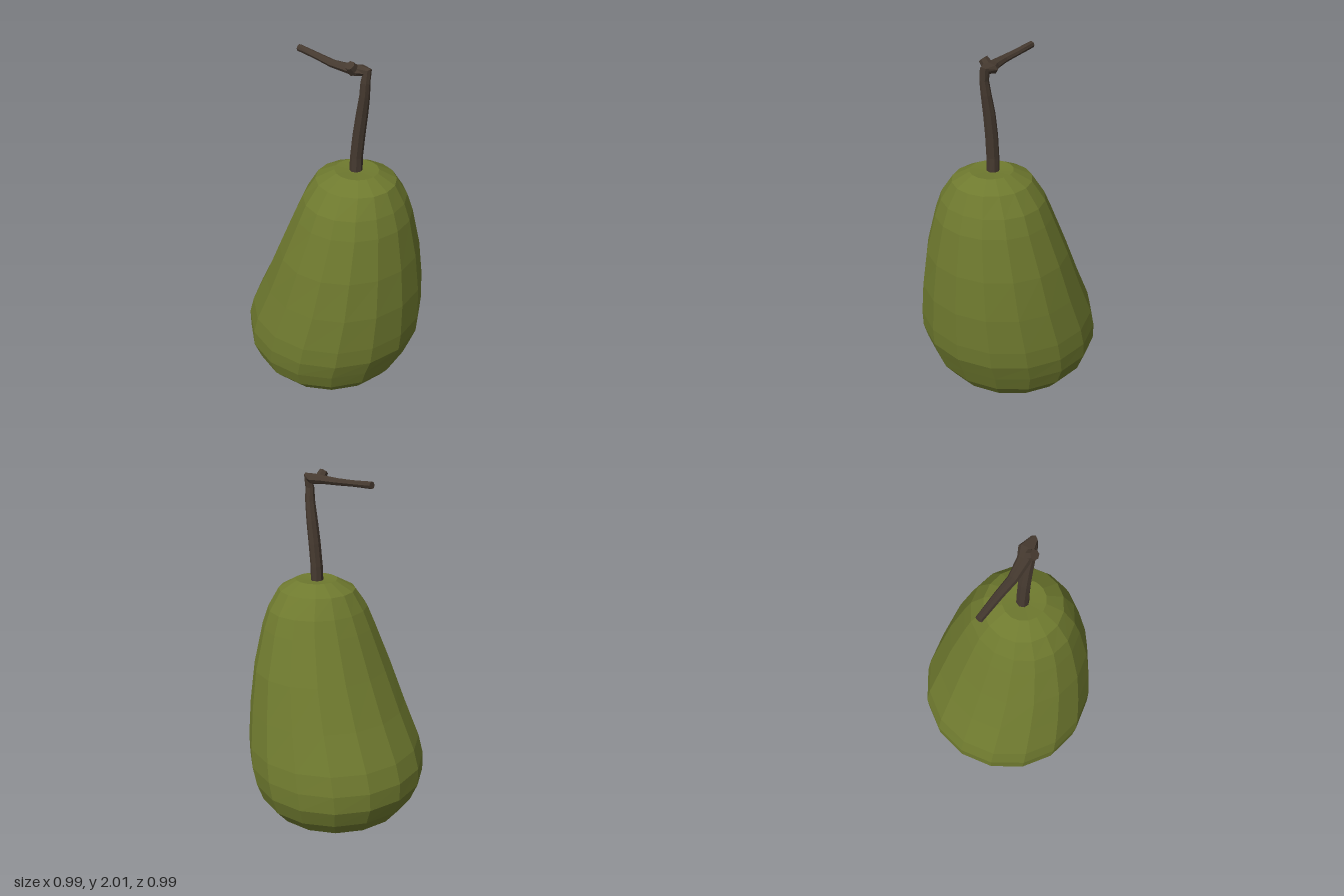
import * as THREE from 'three';

// Closed loft through elliptical rings: [x, y, z, tilt in degrees, radius in xy plane, radius in z]
function loft(rings, sides) {
  const pos = [], index = [];
  for (const [x, y, z, tilt, ru, rz] of rings) {
    const a = THREE.MathUtils.degToRad(tilt);
    for (let k = 0; k < sides; k++) {
      const t = (k / sides) * Math.PI * 2;
      const u = Math.cos(t) * ru;
      pos.push(x + Math.cos(a) * u, y + Math.sin(a) * u, z - Math.sin(t) * rz);
    }
  }
  const last = rings.length - 1;
  for (let i = 0; i < last; i++) {
    for (let k = 0; k < sides; k++) {
      const n = (k + 1) % sides;
      const a = i * sides + k, b = i * sides + n;
      index.push(a, b, b + sides, a, b + sides, a + sides);
    }
  }
  // end caps
  const start = pos.length / 3;
  pos.push(...rings[0].slice(0, 3), ...rings[last].slice(0, 3));
  for (let k = 0; k < sides; k++) {
    const n = (k + 1) % sides;
    index.push(start, n, k, start + 1, last * sides + k, last * sides + n);
  }
  const g = new THREE.BufferGeometry();
  g.setAttribute('position', new THREE.Float32BufferAttribute(pos, 3));
  g.setIndex(index);
  const flat = g.toNonIndexed(); // separate faces give faceted normals
  flat.computeVertexNormals();
  return flat;
}

export function createModel() {
  const green = new THREE.MeshStandardMaterial({ color: 0x6f7a2f, flatShading: true });
  green.name = 'pear green';
  const brown = new THREE.MeshStandardMaterial({ color: 0x463a30, flatShading: true });
  brown.name = 'stem brown';

  const model = new THREE.Group();
  model.name = 'pear';
  const add = (name, geometry, material) => {
    const mesh = new THREE.Mesh(geometry, material);
    mesh.name = name;
    model.add(mesh);
    return mesh;
  };

  // Fruit: lopsided body leaning towards +x at the top; rows are [y, centre x, radius x, radius z]
  const body = [
    [0.0, -0.03, 0.03, 0.03],
    [0.014, -0.03, 0.1, 0.1],
    [0.042, -0.028, 0.198, 0.2],
    [0.155, -0.027, 0.374, 0.39],
    [0.235, -0.025, 0.43, 0.455],
    [0.335, -0.027, 0.47, 0.49],
    [0.435, -0.008, 0.489, 0.496],
    [0.54, 0.013, 0.477, 0.485],
    [0.74, 0.063, 0.427, 0.44],
    [0.96, 0.103, 0.367, 0.388],
    [1.185, 0.132, 0.3, 0.313],
    [1.28, 0.138, 0.263, 0.276],
    [1.38, 0.143, 0.21, 0.205],
    [1.43, 0.147, 0.115, 0.112],
    [1.425, 0.143, 0.04, 0.04],
  ];
  add('fruit', loft(body.map(([y, x, rx, rz]) => [x, y, 0, 0, rx, rz]), 16), green);

  // Stem: rises, bends sharply and runs out towards -x
  add('stem', loft([
    [0.138, 1.4, -0.003, 0, 0.034, 0.034],
    [0.14, 1.5, -0.004, -4, 0.031, 0.034],
    [0.152, 1.62, -0.006, -8, 0.03, 0.034],
    [0.17, 1.74, -0.006, -8, 0.028, 0.032],
    [0.188, 1.84, -0.002, -6, 0.025, 0.027],
    [0.195, 1.91, 0.003, 5, 0.025, 0.022],
    [0.198, 1.958, -0.003, 45, 0.033, 0.022],
    [0.15, 1.957, 0, 85, 0.027, 0.045],
    [0.1, 1.957, 0.014, 90, 0.022, 0.033],
    [0.0, 1.957, 0.024, 90, 0.018, 0.025],
    [-0.1, 1.963, 0.018, 90, 0.016, 0.022],
    [-0.24, 1.971, 0.014, 86, 0.018, 0.018],
  ], 8), brown);

  // Small cut twig on the bend
  const knot = add('knot', new THREE.CylinderGeometry(0.024, 0.03, 0.045, 7), brown);
  knot.position.set(0.136, 1.974, 0.034);
  knot.rotation.x = 0.7;
  return model;
}
